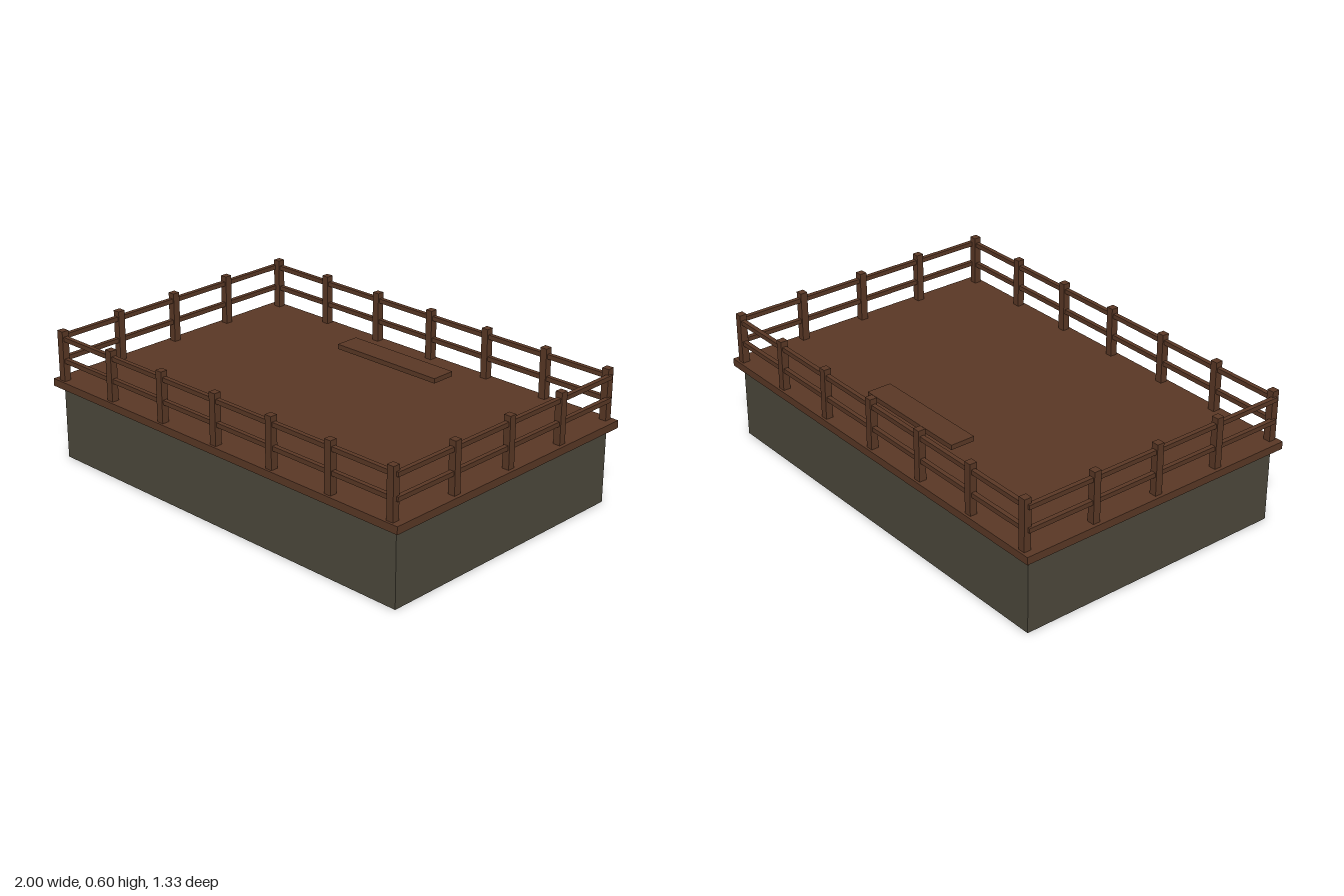
import * as THREE from 'three';

export function createModel() {
  const group = new THREE.Group();
  const wood = new THREE.MeshStandardMaterial({ color: 0x5a3825 });
  wood.name = 'brown wood';
  const stone = new THREE.MeshStandardMaterial({ color: 0x4d493c });
  stone.name = 'grey stone';

  const box = (name, material, [w, h, d], [x, y, z]) => {
    const mesh = new THREE.Mesh(new THREE.BoxGeometry(w, h, d), material);
    mesh.name = name;
    mesh.position.set(x, y, z);
    group.add(mesh);
  };

  // Foundation, deck and bench seat
  box('foundation', stone, [1.934, 0.336, 1.27], [0, 0.168, 0]);
  box('deck', wood, [2, 0.034, 1.334], [0, 0.353, 0]);
  box('benchSeat', wood, [0.564, 0.022, 0.114], [0, 0.429, -0.403]);

  // Railing on all four sides
  const post = 0.033, postHeight = 0.227, postY = 0.37 + postHeight / 2;
  const rail = 0.02, railHeights = [0.462, 0.562];
  const railX = 0.968, railZ = 0.64, spacing = 0.3173;
  for (const side of [-1, 1]) {
    // Front and back rows hold the corner posts
    for (let i = -3; i <= 3; i++) {
      box('longSidePost', wood, [post, postHeight, post], [i * spacing, postY, side * railZ]);
    }
    for (let i = -1; i <= 1; i++) {
      box('shortSidePost', wood, [post, postHeight, post], [side * railX, postY, i * spacing]);
    }
    for (const y of railHeights) {
      box('longSideRail', wood, [1.936, rail, rail], [0, y, side * railZ]);
      box('shortSideRail', wood, [rail, rail, 1.28], [side * railX, y, 0]);
    }
  }
  return group;
}
